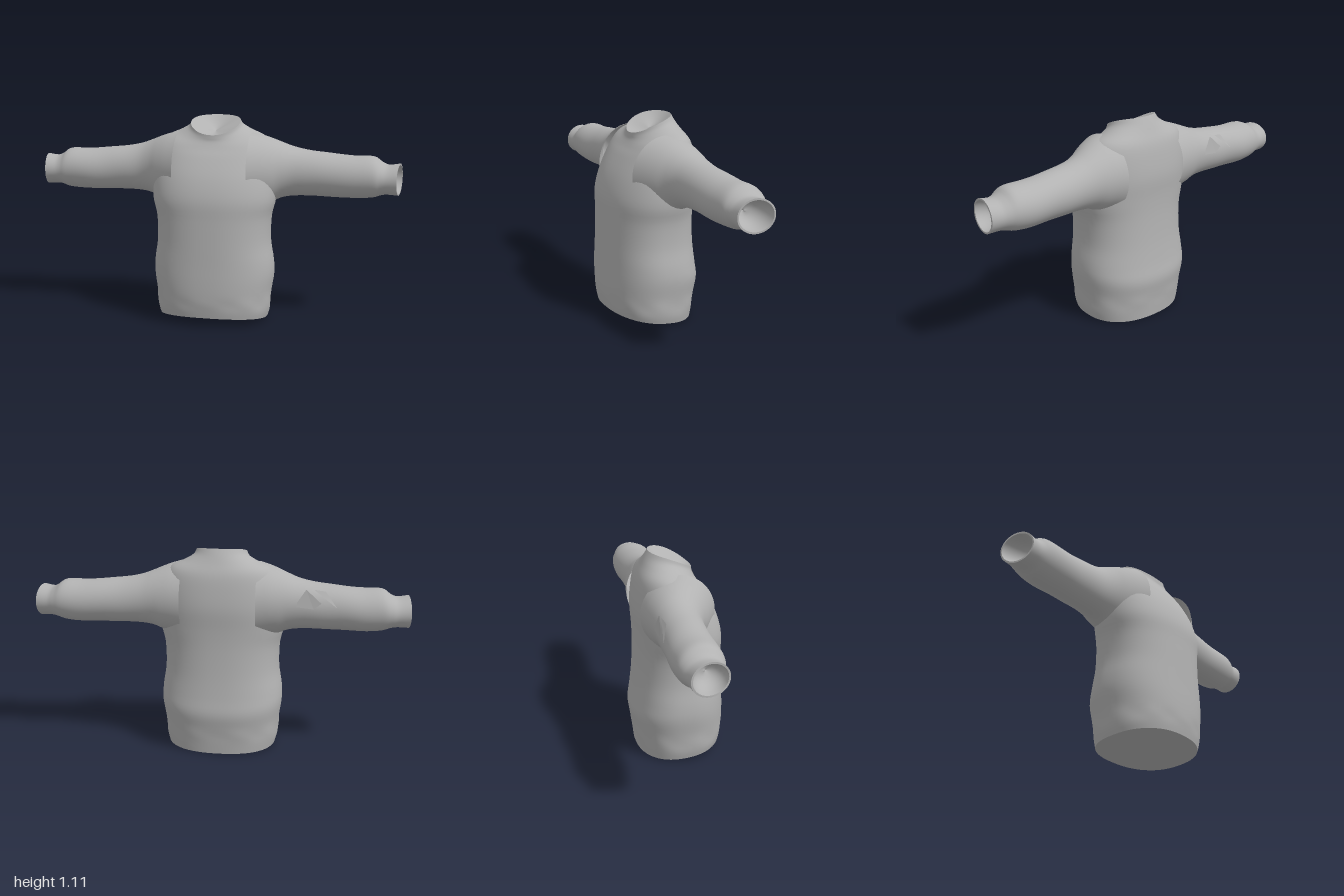
import * as THREE from 'three';

const SEG = 56;

// Smoothly fills in rows between the given cross-sections
function refine(rows, steps) {
  const out = [];
  for (let i = 0; i < rows.length - 1; i++) {
    const [a, b, c, d] = [-1, 0, 1, 2].map(k => rows[Math.min(rows.length - 1, Math.max(0, i + k))]);
    for (let s = 0; s < steps; s++) {
      const t = s / steps;
      out.push(b.map((v, j) => v + 0.5 * t * (c[j] - a[j] + t * (2 * a[j] - 5 * v + 4 * c[j] - d[j]
        + t * (3 * (v - c[j]) + d[j] - a[j])))));
    }
  }
  out.push(rows[rows.length - 1]);
  return out;
}

// Skins closed rings; point(row, angle) gives a position
function loft(rows, point) {
  const pos = [], idx = [];
  rows.forEach((r, i) => {
    for (let j = 0; j < SEG; j++) {
      pos.push(...point(r, j / SEG * Math.PI * 2));
      if (i) {
        const k = (j + 1) % SEG, a = (i - 1) * SEG, b = i * SEG;
        idx.push(a + j, b + k, a + k, a + j, b + j, b + k);
      }
    }
  });
  return surface(pos, idx);
}

function surface(pos, idx) {
  const g = new THREE.BufferGeometry();
  g.setAttribute('position', new THREE.Float32BufferAttribute(pos, 3));
  if (idx) g.setIndex(idx);
  g.computeVertexNormals();
  return g;
}

const spow = (v, p) => Math.sign(v) * Math.abs(v) ** p;

// Torso rows: front y, front z, back y, back z, half width, side y
const TORSO = [
  [0.055, 0.24, 0.003, -0.222, 0.298, 0.02],
  [0.10, 0.248, 0.07, -0.23, 0.31, 0.07],
  [0.17, 0.255, 0.15, -0.241, 0.316, 0.16],
  [0.25, 0.255, 0.23, -0.252, 0.33, 0.26],
  [0.34, 0.252, 0.32, -0.24, 0.327, 0.34],
  [0.45, 0.249, 0.44, -0.228, 0.311, 0.45],
  [0.58, 0.245, 0.58, -0.222, 0.314, 0.58],
  [0.69, 0.24, 0.69, -0.224, 0.336, 0.68],
  [0.80, 0.206, 0.80, -0.231, 0.335, 0.80],
  [0.90, 0.152, 0.90, -0.222, 0.315, 0.92],
  [0.95, 0.117, 0.98, -0.206, 0.275, 1.0],
  [0.985, 0.096, 1.04, -0.178, 0.2, 1.035],
  [1.005, 0.092, 1.08, -0.158, 0.15, 1.062],
  [1.022, 0.09, 1.113, -0.14, 0.136, 1.085],
];

function torsoPoint([yf, zf, yb, zb, w, ys], a) {
  const p = THREE.MathUtils.lerp(1, 0.86, THREE.MathUtils.smoothstep(w, 0.15, 0.28));
  const c = spow(Math.cos(a), p), s = spow(Math.sin(a), p);
  // gathered ripples just above the hem
  const ripple = 1 + 0.008 * Math.sin(a * 9) * Math.exp(-(((ys - 0.11) / 0.035) ** 2));
  const z = (zf + zb) / 2 + s * (zf - zb) / 2;
  const y = ys + s * (yf - yb) / 2 + s * s * ((yf + yb) / 2 - ys);
  return [c * w * ripple, y, z * ripple];
}

// Sleeve rows, flared at the shoulder: x, top y, bottom y, front z, back z
const SLEEVE = [
  [0.20, 1.03, 0.62, 0.175, -0.222],
  [0.26, 1.015, 0.64, 0.142, -0.215],
  [0.31, 0.998, 0.655, 0.112, -0.207],
  [0.36, 0.978, 0.677, 0.08, -0.198],
  [0.42, 0.956, 0.688, 0.058, -0.191],
  [0.50, 0.939, 0.691, 0.05, -0.188],
  [0.60, 0.926, 0.691, 0.05, -0.19],
  [0.74, 0.916, 0.686, 0.052, -0.192],
  [0.85, 0.912, 0.695, 0.05, -0.19],
  [0.90, 0.885, 0.708, 0.04, -0.176],
  [0.94, 0.872, 0.713, 0.036, -0.162],
  [1.00, 0.88, 0.71, 0.038, -0.154],
];

function sleevePoint([x, top, bot, zf, zb], a, side) {
  const s = Math.sin(a), c = Math.cos(a);
  const slant = 0.015 * (1 + s) * THREE.MathUtils.smoothstep(x, 0.8, 1);
  const fold = 1 + 0.012 * Math.sin(x * 24 + a * 2) * THREE.MathUtils.smoothstep(x, 0.4, 0.6)
    * (1 - THREE.MathUtils.smoothstep(x, 0.85, 0.93));
  return [side * (x - slant), (top + bot) / 2 + c * fold * (top - bot) / 2,
    (zf + zb) / 2 + s * fold * (zf - zb) / 2];
}

export function createModel() {
  const group = new THREE.Group();
  const cloth = new THREE.MeshStandardMaterial({ color: 0xb2b2b2, side: THREE.DoubleSide });
  cloth.name = 'grey cloth';
  const add = (name, geometry) => {
    const m = new THREE.Mesh(geometry, cloth);
    m.name = name;
    group.add(m);
  };

  // Body from hem to collar
  add('torso', loft(refine(TORSO, 4), torsoPoint));

  // Closed underside
  const hem = TORSO[0];
  add('hemBase', loft([hem, [0.021, 0.01, 0.019, 0.008, 0.001, 0.02]], torsoPoint));

  // Shallow hollow inside the collar
  const collar = TORSO[TORSO.length - 1];
  const hollowCentre = [1.035, -0.025, 1.035, -0.026, 0.001, 1.035];
  add('neckHollow', loft([0, 0.15, 0.3, 0.5, 0.7, 0.85, 1].map(t =>
    collar.map((v, i) => THREE.MathUtils.lerp(v, hollowCentre[i], t)
      - (i % 2 ? 0 : 0.012 * Math.sin(t * Math.PI)) * (i === 4 ? 0 : 1))), torsoPoint));

  // Sleeves, with a thin cuff rim and a rounded lining
  const cuff = SLEEVE[SLEEVE.length - 1];
  const inset = (x, t) => [x, cuff[1] - t, cuff[2] + t, cuff[3] - t, cuff[4] + t];
  const lining = [0, 0.15, 0.3, 0.45, 0.6, 0.75, 0.9, 1].map(t => {
    const scale = Math.cos(t * Math.PI / 2);
    const y = (cuff[1] + cuff[2]) / 2, z = (cuff[3] + cuff[4]) / 2;
    const ry = (cuff[1] - cuff[2]) / 2 - 0.009, rz = (cuff[3] - cuff[4]) / 2 - 0.009;
    return [1 - 0.12 * Math.sin(t * Math.PI / 2), y + ry * scale, y - ry * scale, z + rz * scale, z - rz * scale];
  });
  for (const side of [1, -1]) {
    const label = side > 0 ? 'left' : 'right';
    const point = (r, a) => sleevePoint(r, a, side);
    add(label + 'Sleeve', loft(refine(SLEEVE, 4), point));
    add(label + 'CuffRim', loft([inset(1, 0), inset(1, 0.009)], point));
    add(label + 'CuffLining', loft(lining, point));
  }

  // Pointed creases on the back of the right sleeve
  add('sleeveCreases', surface([
    -0.40, 0.83, -0.192, -0.50, 0.82, -0.19, -0.46, 0.92, -0.178,
    -0.50, 0.82, -0.19, -0.54, 0.85, -0.188, -0.46, 0.92, -0.178,
    -0.50, 0.92, -0.175, -0.62, 0.83, -0.192, -0.56, 0.91, -0.165,
  ]));
  return group;
}
